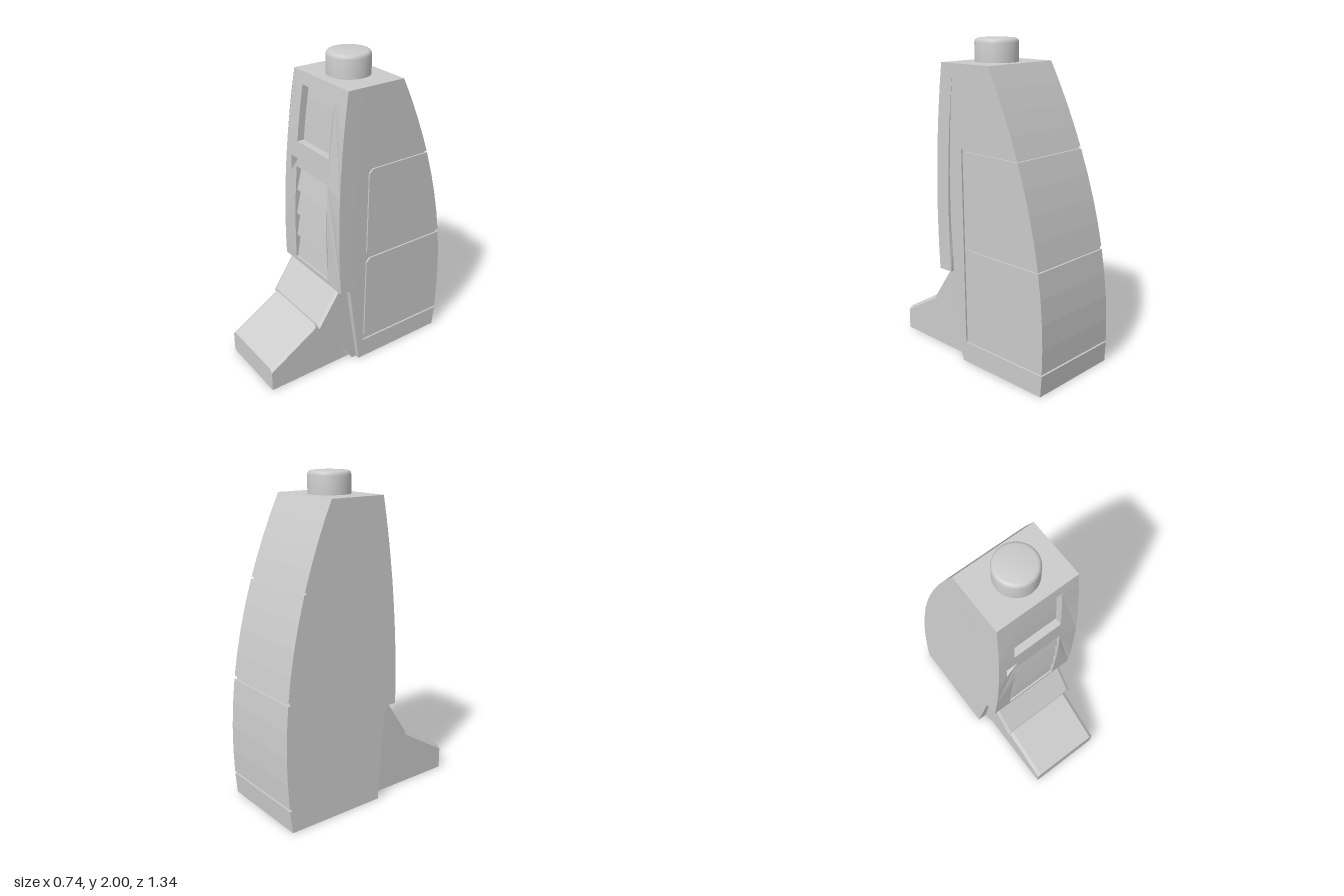
import * as THREE from 'three';
import { toCreasedNormals } from 'three/addons/utils/BufferGeometryUtils.js';
import { ConvexGeometry } from 'three/addons/geometries/ConvexGeometry.js';

const TOP = 1.865;
// Tapering sides, curved back and curved front, all as functions of height
const left = y => -0.352 + 0.0676 * y;
const right = y => 0.27 + 0.018 * y;
const back = y => -0.63 + 0.163 * (y - 0.3) ** 2;
const front = y => 0.21 - 0.08 * (y - 1) ** 2;

const steps = (a, b, n) => Array.from({ length: n + 1 }, (_, i) => a + (b - a) * i / n);

// Moves every vertex by a rule and refreshes the flat normals
function warp(geometry, rule) {
  const p = geometry.attributes.position;
  for (let i = 0; i < p.count; i++) p.setXYZ(i, ...rule(p.getX(i), p.getY(i), p.getZ(i)));
  geometry.computeVertexNormals();
  return geometry;
}

// Side profile of [z, y] points spanning t0..t1 of the tapering body width
function sideSolid(profile, t0, t1, hole) {
  const shape = new THREE.Shape(profile.map(([z, y]) => new THREE.Vector2(-z, y)));
  if (hole) shape.holes.push(new THREE.Path().absarc(-hole.z, hole.y, hole.r, 0, Math.PI * 2, true));
  const g = new THREE.ExtrudeGeometry(shape, { depth: t1 - t0, bevelEnabled: false, curveSegments: 14 });
  g.rotateY(Math.PI / 2);
  return warp(g, (x, y, z) => [left(y) + (right(y) - left(y)) * (t0 + x), y, z]);
}

// Convex block from a side profile, with its listed top points lowered at both ends
function chamferedBlock(profile, x0, x1, chamfer, topPoints) {
  const pts = [];
  for (const [x, low] of [[x0, 1], [x0 + chamfer, 0], [x1 - chamfer, 0], [x1, 1]]) {
    profile.forEach(([z, y], i) =>
      pts.push(new THREE.Vector3(x, y - (low && topPoints.includes(i) ? chamfer : 0), z)));
  }
  return new ConvexGeometry(pts);
}

export function createModel() {
  const model = new THREE.Group();
  model.name = 'lowerLeg';
  const material = new THREE.MeshStandardMaterial({ color: 0xcccccc });
  const add = (name, geometry) => {
    const mesh = new THREE.Mesh(geometry, material);
    mesh.name = name;
    model.add(mesh);
    return mesh;
  };

  // Calf core, with a round socket in its outer slab
  const frontLine = [[0.03, 0], [0.11, 0.555], ...steps(0.59, TOP, 8).map(y => [front(y) - 0.045, y])];
  const profile = [...frontLine, ...steps(TOP, 0, 20).map(y => [back(y) + 0.012, y])];
  add('calfCore', sideSolid(profile, 0.15, 0.982));
  add('calfOuterSlab', sideSolid(profile, 0, 0.15, { z: -0.083, y: 1.62, r: 0.088 }));

  // Back bands and side panels, separated by narrow grooves
  const bands = [[0, 0.135, 0.0], [0.147, 0.757, -0.012], [0.777, 1.362, -0.012], [1.374, TOP, 0.0]];
  bands.forEach(([y0, y1, z], i) => {
    const ys = steps(y0, y1, i ? 4 : 1);
    const rev = [...ys].reverse();
    add('backBand' + i, sideSolid([...ys.map(y => [back(y) + 0.05, y]), ...rev.map(y => [back(y), y])], 0, 1));
    const c = 0.025;
    const edge = z < 0 ? [[z - c, y0], [z, y0 + c], [z, y1 - c], [z - c, y1]] : [[z, y0], [z, y1]];
    add('sidePanel' + i, sideSolid([...edge, ...rev.map(y => [back(y) + 0.05, y])], 0.98, 1));
  });
  add('sideStrip', sideSolid([...frontLine, [0, TOP], [0, 0]], 0.98, 1));

  // Curved front plate with window, notch and vent openings
  const v = pts => pts.map(([x, y]) => new THREE.Vector2(x, y));
  const ventLeft = y => -0.188 + (y - 0.62) * 0.062;
  const ventRight = y => 0.165 + (y - 0.62) * 0.023;
  const opening = (y0, y1, l, r) => new THREE.Path(v([
    ...steps(y0, y1, 4).map(y => [r(y), y]), ...steps(y1, y0, 4).map(y => [l(y), y])]));
  const plate = new THREE.Shape(v([
    ...steps(0.59, TOP, 10).map(y => [0.303, y]), ...steps(TOP, 0.59, 10).map(y => [left(y), y])]));
  plate.holes.push(
    opening(1.44, 1.79, y => -0.146 + (y - 1.44) * 0.05, y => 0.18 + (y - 1.44) * 0.03),
    opening(0.62, 1.28, ventLeft, ventRight),
    new THREE.Path(v([[-0.208, 1.335], [-0.208, 1.235], [-0.132, 1.335]])));
  const plateGeometry = new THREE.ExtrudeGeometry(plate, { depth: 0.1, bevelEnabled: false });
  add('frontPlate', warp(plateGeometry, (x, y, z) => [x, y, front(y) - 0.1 + z]));

  // Sloping vent slats
  const slatHeights = [0.62, 0.785, 0.945, 1.115, 1.28];
  for (let i = 0; i < 4; i++) {
    const [y0, y1] = [slatHeights[i], slatHeights[i + 1]];
    const pts = [];
    for (const side of [ventLeft, ventRight]) {
      pts.push(new THREE.Vector3(side(y0), y0, front(y0) - 0.06),
        new THREE.Vector3(side(y0), y0, front(y0) - 0.012),
        new THREE.Vector3(side(y1), y1, front(y1) - 0.038),
        new THREE.Vector3(side(y1), y1, front(y1) - 0.06));
    }
    add('ventSlat' + i, new ConvexGeometry(pts));
  }

  // Ankle guard and toe
  add('ankleGuard', chamferedBlock(
    [[0.165, 0.59], [0.317, 0.365], [0.06, 0], [0.02, 0], [0.1, 0.555]], -0.29, 0.242, 0.02, [0, 1]));
  add('toe', chamferedBlock(
    [[0.647, 0], [0.647, 0.155], [0.318, 0.355], [0.065, 0]], -0.28, 0.205, 0.022, [1, 2]));

  // Round joint peg on top
  const pegProfile = [[0.13, 1.85], [0.13, 1.975], [0.127, 1.988], [0.119, 1.997], [0.108, 2], [0, 2]];
  const peg = new THREE.LatheGeometry(v(pegProfile), 40);
  add('topPeg', toCreasedNormals(peg, 0.6)).position.set(0.042, 0, -0.042);

  model.rotation.y = -0.143;
  return model;
}
